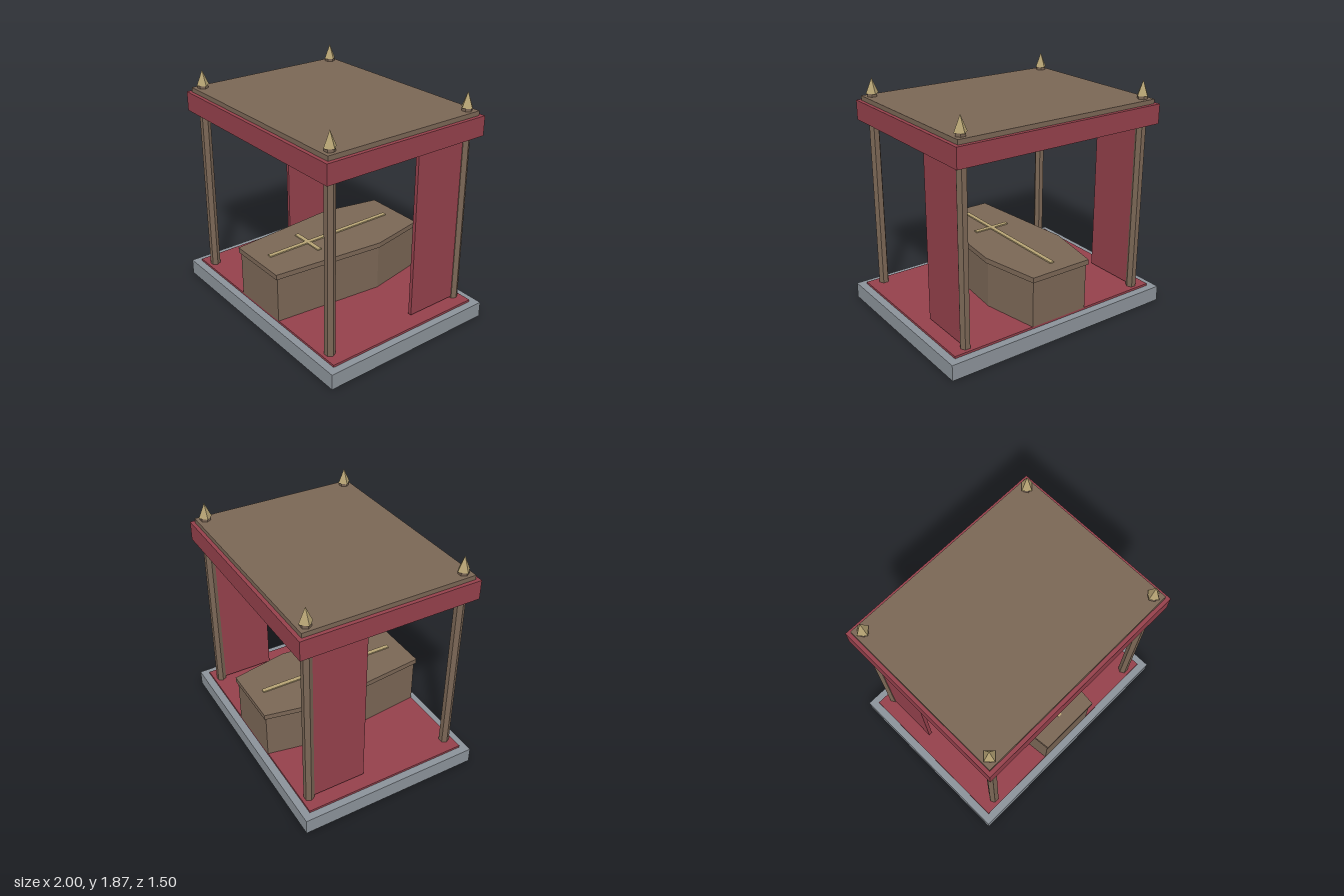
import * as THREE from 'three';

const mat = (name, color) => {
  const m = new THREE.MeshStandardMaterial({ color });
  m.name = name;
  return m;
};

export function createModel() {
  const stone = mat('stone', 0x8b9299);
  const cloth = mat('red cloth', 0x94404b);
  const wood = mat('wood', 0x7a6655);
  const gold = mat('gold', 0xb5a273);

  const model = new THREE.Group();
  model.name = 'canopied bier';

  const add = (name, geometry, material, x = 0, y = 0, z = 0) => {
    const mesh = new THREE.Mesh(geometry, material);
    mesh.name = name;
    mesh.position.set(x, y, z);
    model.add(mesh);
    return mesh;
  };
  // Box given by its bottom and top heights
  const box = (name, material, w, d, y0, y1, x = 0, z = 0) =>
    add(name, new THREE.BoxGeometry(w, y1 - y0, d), material, x, (y0 + y1) / 2, z);
  // Faceted geometry with hard edges
  const faceted = (geometry) => {
    const g = geometry.toNonIndexed();
    g.computeVertexNormals();
    return g;
  };

  // Plinth and carpet
  box('plinth', stone, 2, 1.5, 0, 0.127);
  box('carpet', cloth, 1.876, 1.376, 0.127, 0.145);

  // Canopy
  box('canopyValance', cloth, 1.81, 1.44, 1.535, 1.69);
  box('canopyRoof', wood, 1.75, 1.38, 1.69, 1.726);

  // Six-sided posts with pointed finials
  const post = faceted(new THREE.CylinderGeometry(0.041, 0.041, 1.605, 6).rotateY(Math.PI / 2));
  const finial = faceted(new THREE.ConeGeometry(0.054, 0.12, 4));
  for (const x of [-0.812, 0.812]) {
    for (const z of [-0.625, 0.625]) {
      add('post', post, wood, x, 0.145 + 1.605 / 2, z);
      add('finial', finial, gold, x, 1.81, z);
    }
    // Curtain hanging at the rear of each side
    box('curtain', cloth, 0.03, 0.46, 0.16, 1.535, x, -0.385);
  }

  // Six-sided coffin, widest behind its middle
  const coffinPart = (name, end, shoulder, half, y0, y1) => {
    const s = 0.23; // shoulder distance behind the centre; shape y becomes -z
    const outline = new THREE.Shape([
      [-end, -half], [end, -half], [shoulder, s],
      [end, half], [-end, half], [-shoulder, s],
    ].map(([x, y]) => new THREE.Vector2(x, y)));
    const g = new THREE.ExtrudeGeometry(outline, { depth: y1 - y0, bevelEnabled: false });
    add(name, g.rotateX(-Math.PI / 2), wood, 0, y0, 0);
  };
  coffinPart('coffinBody', 0.253, 0.343, 0.69, 0.145, 0.523);
  coffinPart('coffinLid', 0.264, 0.358, 0.705, 0.523, 0.565);

  // Inlaid cross on the lid
  box('crossUpright', gold, 0.036, 1.18, 0.565, 0.575);
  box('crossArm', gold, 0.31, 0.036, 0.565, 0.5745, 0, 0.22);

  return model;
}
